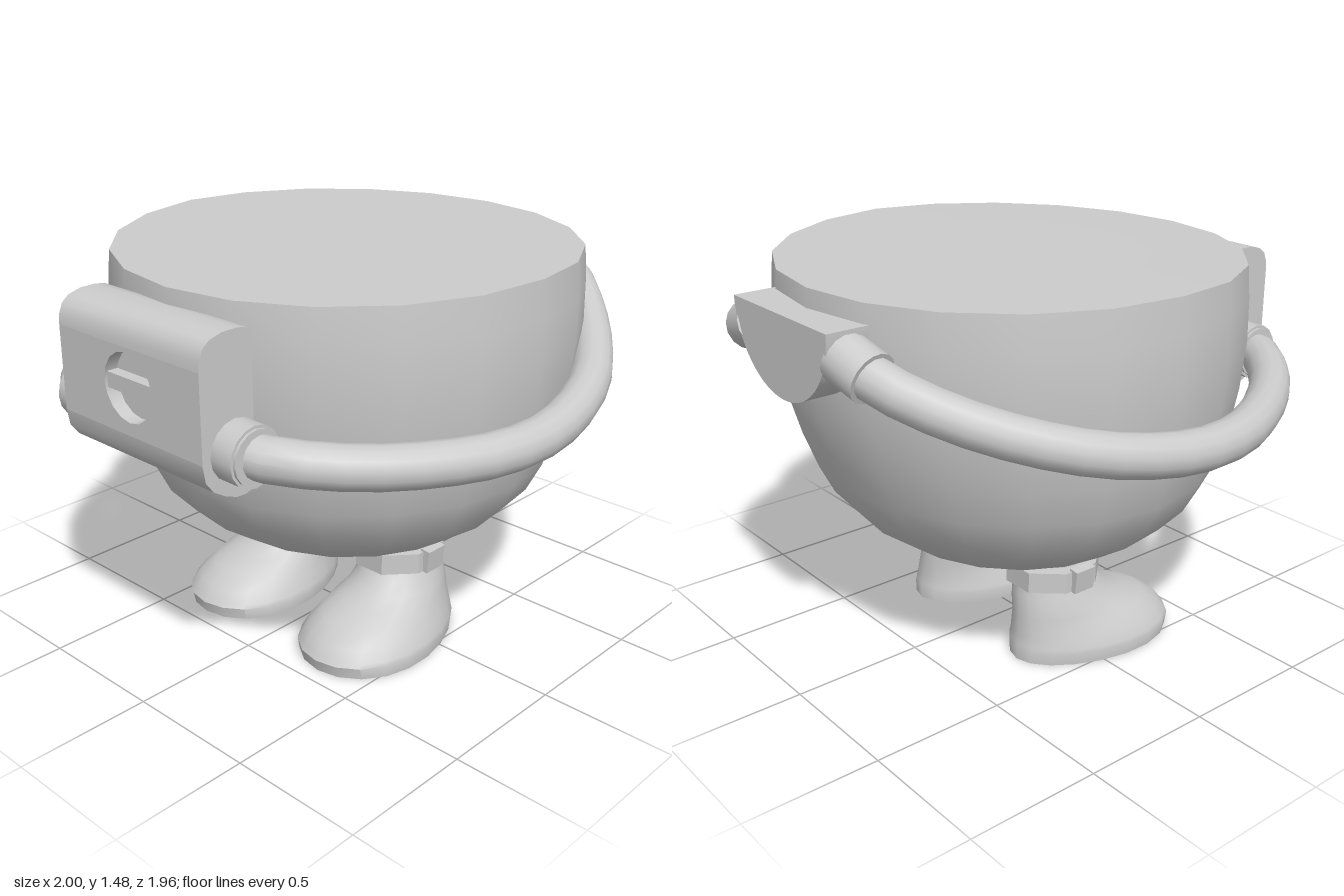
import * as THREE from 'three';
import { toCreasedNormals } from 'three/addons/utils/BufferGeometryUtils.js';

const material = new THREE.MeshStandardMaterial({ color: 0xcccccc });
const V = (x, y, z) => new THREE.Vector3(x, y, z);

function part(name, geometry, crease = 0.6) {
  const mesh = new THREE.Mesh(toCreasedNormals(geometry, crease), material);
  mesh.name = name;
  return mesh;
}

// Cylinder running between two points
function rod(name, a, b, radius, sides) {
  const mesh = part(name, new THREE.CylinderGeometry(radius, radius, a.distanceTo(b), sides));
  mesh.position.copy(a).lerp(b, 0.5);
  mesh.quaternion.setFromUnitVectors(V(0, 1, 0), b.clone().sub(a).normalize());
  return mesh;
}

// Box from its size and centre
function box(name, w, h, d, x, y, z) {
  const mesh = part(name, new THREE.BoxGeometry(w, h, d));
  mesh.position.set(x, y, z);
  return mesh;
}

// Closed skin over stacked rings of [x, z] points, bottom to top, capped at both ends
function loft(rings, heights) {
  const n = rings[0].length, pos = [], index = [];
  rings.forEach((ring, j) => ring.forEach(([x, z]) => pos.push(x, heights[j], z)));
  const last = (rings.length - 1) * n;
  for (let i = 0; i < n; i++) {
    const k = (i + 1) % n;
    for (let j = 0; j < rings.length - 1; j++) {
      const a = j * n + i, b = j * n + k;
      index.push(a, a + n, b, b, a + n, b + n);
    }
    if (i > 0 && i < n - 1) index.push(0, i, k, last, last + k, last + i);
  }
  const g = new THREE.BufferGeometry();
  g.setAttribute('position', new THREE.Float32BufferAttribute(pos, 3));
  g.setIndex(index);
  return g;
}

// Bar with a [z, y] side profile, spanning x = -half..half
function sideProfile(points, half) {
  const shape = new THREE.Shape(points.map(([z, y]) => new THREE.Vector2(-z, y)));
  return new THREE.ExtrudeGeometry(shape, { depth: half * 2, bevelEnabled: false })
    .translate(0, 0, -half).rotateY(Math.PI / 2);
}

function createBody() {
  const profile = [[0, 0.35], [0.2, 0.352], [0.37, 0.38], [0.52, 0.44], [0.64, 0.52], [0.735, 0.62],
    [0.79, 0.73], [0.83, 0.87], [0.857, 1.02], [0.873, 1.2], [0.87, 1.35], [0.86, 1.48], [0, 1.48]];
  const g = new THREE.LatheGeometry(profile.map(p => new THREE.Vector2(...p)), 20);
  const p = g.attributes.position;
  for (let i = 0; i < p.count; i++) {
    const y = p.getY(i), z = p.getZ(i);
    // Shallower lower back, and a rim that dips at the front
    const shrink = z < 0 ? 0.06 * THREE.MathUtils.clamp((1.1 - y) / 0.4, 0, 1) : 0;
    p.setZ(i, z * 0.972 * (1 - shrink) - 0.035);
    if (y > 1.4) p.setY(i, y - (z > 0 ? 0.024 : 0.01) * Math.abs(z));
  }
  return part('body', g);
}

function createBuckle() {
  const buckle = new THREE.Group();
  buckle.name = 'buckle';
  const half = 0.35, low = 1.0, high = 1.3, front = 0.975, back = 0.76;

  // Rounded upper and lower ends
  buckle.add(part('buckleTop', sideProfile([[back, high], [front, high], [0.972, 1.335], [0.958, 1.37],
    [0.93, 1.393], [0.88, 1.406], [0.82, 1.407], [0.78, 1.4], [back, 1.385]], half)));
  buckle.add(part('buckleBottom', sideProfile([[back, low], [back, 0.875], [0.775, 0.858], [0.8, 0.85],
    [0.84, 0.852], [0.89, 0.872], [0.935, 0.9], [0.965, 0.94], [front, low]], half)));

  // Flat middle with a round opening
  const plate = new THREE.Shape([[-half, low], [half, low], [half, high], [-half, high]]
    .map(p => new THREE.Vector2(...p)));
  const hole = new THREE.Path();
  hole.absarc(0, 1.165, 0.12, 0, Math.PI * 2, true);
  plate.holes.push(hole);
  const middle = new THREE.ExtrudeGeometry(plate, { depth: front - back, bevelEnabled: false, curveSegments: 8 });
  buckle.add(part('buckleMiddle', middle.translate(0, 0, back)));

  // Recessed dial with its crossbar
  buckle.add(rod('dial', V(0, 1.165, 0.8), V(0, 1.165, 0.925), 0.122, 16));
  buckle.add(box('dialBar', 0.23, 0.055, 0.05, 0, 1.165, 0.942));
  return buckle;
}

function createBackPlate() {
  const shape = new THREE.Shape();
  shape.absarc(0, 1.405, 0.29, Math.PI, Math.PI * 2, false);
  shape.closePath();
  const g = new THREE.ExtrudeGeometry(shape, { depth: 0.17, bevelEnabled: false, curveSegments: 14 });
  return part('backPlate', g.translate(0, 0, -0.98));
}

// One half of the hose with its collars
function createHose(s) {
  const hose = new THREE.Group();
  hose.name = s > 0 ? 'leftHose' : 'rightHose';
  const path = [[0.36, 1.015, 0.845], [0.47, 1.014, 0.825], [0.59, 1.0, 0.735], [0.71, 0.985, 0.6],
    [0.83, 0.973, 0.4], [0.905, 0.968, 0.2], [0.924, 0.974, 0], [0.9, 1.0, -0.2], [0.838, 1.04, -0.39],
    [0.72, 1.098, -0.58], [0.58, 1.168, -0.74], [0.42, 1.25, -0.865], [0.25, 1.31, -0.905]];
  const curve = new THREE.CatmullRomCurve3(path.map(([x, y, z]) => V(s * x, y, z)));
  hose.add(part('hose', new THREE.TubeGeometry(curve, 20, 0.075, 14)));
  hose.add(rod('frontCollar', V(s * 0.33, 1.015, 0.838), V(s * 0.44, 1.015, 0.838), 0.105, 16));
  hose.add(rod('frontCollarRim', V(s * 0.43, 1.015, 0.838), V(s * 0.45, 1.015, 0.838), 0.095, 16));
  hose.add(rod('backCollar', V(s * 0.25, 1.31, -0.9), V(s * 0.38, 1.265, -0.878), 0.09, 16));
  return hose;
}

function createLeg(s) {
  const leg = new THREE.Group();
  leg.name = s > 0 ? 'leftLeg' : 'rightLeg';

  // Boot rings: height, inner x, outer x, heel z, toe z
  const rows = [[0, 0.07, 0.54, -0.25, 0.44], [0.045, 0.065, 0.545, -0.25, 0.45], [0.06, 0.07, 0.54, -0.245, 0.44],
    [0.1, 0.085, 0.52, -0.24, 0.41], [0.145, 0.108, 0.49, -0.235, 0.34], [0.175, 0.12, 0.47, -0.232, 0.255],
    [0.21, 0.13, 0.453, -0.228, 0.19], [0.25, 0.138, 0.432, -0.222, 0.145], [0.3, 0.143, 0.415, -0.21, 0.115]];
  const n = 20;
  const rings = rows.map(([y, x0, x1, z0, z1]) => Array.from({ length: n }, (_, i) => {
    const a = i / n * Math.PI * 2, sin = Math.sin(a);
    // Egg outline: broad toe and narrow heel, strongest at the sole
    const egg = 1 + (0.3 - y) * 0.6 * sin;
    const x = (x0 + x1) / 2 + (x1 - x0) / 2 * Math.cos(a) * egg;
    return [x, (z0 + z1) / 2 + (z1 - z0) / 2 * sin];
  }));
  // Mirrored boots run their rings backwards so faces stay outward
  if (s < 0) rings.forEach(ring => { ring.forEach(p => { p[0] *= -1; }); ring.reverse(); });
  leg.add(part('boot', loft(rings, rows.map(r => r[0])), 0.7));

  // Ankle cuff with a small slanted clasp on the outer side
  const cuff = part('cuff', new THREE.CylinderGeometry(0.188, 0.188, 0.08, 8)
    .rotateY(Math.PI / 8).scale(0.9, 1, 1), 0.1);
  cuff.position.set(s * 0.272, 0.32, -0.045);
  leg.add(cuff);
  const clasp = box('cuffClasp', 0.04, 0.09, 0.09, s * 0.432, 0.323, -0.045);
  clasp.rotation.z = -s * 0.12;
  leg.add(clasp);
  leg.add(rod('ankle', V(s * 0.272, 0.28, -0.045), V(s * 0.272, 0.39, -0.045), 0.12, 16));
  return leg;
}

export function createModel() {
  const model = new THREE.Group();
  model.name = 'walkingBowl';
  model.add(createBody(), createBuckle(), createBackPlate());
  for (const s of [1, -1]) model.add(createHose(s), createLeg(s));
  return model;
}
